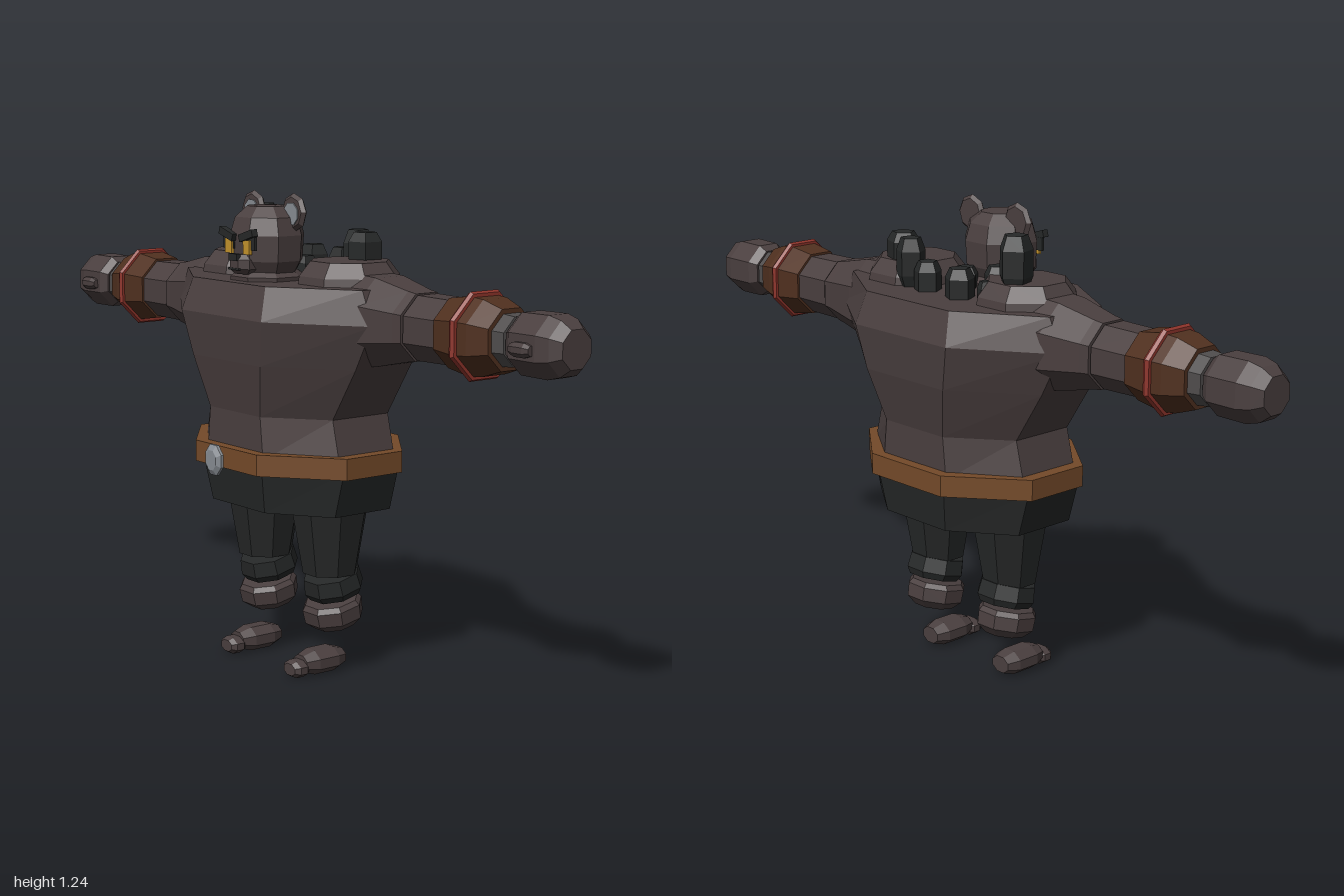
import * as THREE from 'three';

const mat = (name, color) => {
  const m = new THREE.MeshStandardMaterial({ color, flatShading: true, side: THREE.DoubleSide });
  m.name = name;
  return m;
};

export function createModel() {
  const fur = mat('fur', 0x4a3f3f), dark = mat('dark cloth', 0x262828), leather = mat('belt leather', 0x744a29);
  const bracerMat = mat('bracer leather', 0x50301f), red = mat('red band', 0x8f342b), metal = mat('metal', 0x878c92);
  const wristMat = mat('wrist grey', 0x504d4d), gold = mat('eye gold', 0xc4932c);
  const root = new THREE.Group();
  root.name = 'figure';

  const add = (name, geo, m, x = 0, y = 0, z = 0, parent = root) => {
    const mesh = new THREE.Mesh(geo, m);
    mesh.name = name;
    mesh.position.set(x, y, z);
    parent.add(mesh);
    return mesh;
  };

  // Faceted turned shape; profile is [flat radius, height] pairs, bottom to top
  const turned = (profile, sides = 8) => {
    const k = 1 / Math.cos(Math.PI / sides);
    return new THREE.LatheGeometry(profile.map(([r, h]) => new THREE.Vector2(r * k, h)), sides, Math.PI / sides);
  };
  // Chamfered pebble of the given width, height and depth
  const pebble = (w, h, d, sides = 8) =>
    turned([[0, -0.5], [0.34, -0.5], [0.5, -0.24], [0.5, 0.24], [0.34, 0.5], [0, 0.5]], sides).scale(w, h, d);

  // Stretched octagon stack: rows of [y, half width, front z, back z]
  const octagonStack = (rows) => {
    const rings = rows.map(([y, X, zf, zb]) => {
      const half = [[X * 0.42, zf], [X, 0.075], [X, -0.105], [X * 0.42, zb]];
      const all = [...half, ...half.slice().reverse().map(([x, z]) => [-x, z])];
      return all.map(([x, z]) => [x, y, z]);
    });
    const pos = [];
    const tri = (...p) => p.forEach((v) => pos.push(...v));
    const last = rings.length - 1;
    for (let j = 0; j < 8; j++) {
      const n = (j + 1) % 8;
      for (let i = 0; i < last; i++) {
        tri(rings[i][j], rings[i][n], rings[i + 1][n]);
        tri(rings[i][j], rings[i + 1][n], rings[i + 1][j]);
      }
      tri([0, rows[last][0], -0.015], rings[last][j], rings[last][n]);
      tri([0, rows[0][0], -0.015], rings[0][n], rings[0][j]);
    }
    const g = new THREE.BufferGeometry();
    g.setAttribute('position', new THREE.Float32BufferAttribute(pos, 3));
    g.computeVertexNormals();
    return g;
  };

  // Body, belt and trousers
  add('torso', octagonStack([
    [0.58, 0.285, 0.19, -0.218], [0.69, 0.257, 0.19, -0.218], [0.825, 0.345, 0.217, -0.25],
    [0.94, 0.408, 0.234, -0.264], [1.025, 0.37, 0.208, -0.238],
  ]), fur);
  add('belt', octagonStack([[0.545, 0.315, 0.22, -0.248], [0.6, 0.315, 0.22, -0.248]]), leather);
  add('hips', octagonStack([[0.442, 0.268, 0.18, -0.215], [0.56, 0.302, 0.2, -0.233]]), dark);
  add('buckle', turned([[0, -0.012], [0.022, -0.012], [0.034, -0.004], [0.034, 0.004], [0.022, 0.012], [0, 0.012]])
    .rotateX(Math.PI / 2).scale(1, 1.15, 1), metal, 0, 0.572, 0.255);

  // Head
  const head = new THREE.Group();
  head.name = 'head';
  head.position.set(0, 0, 0.085);
  root.add(head);
  add('neck', turned([[0.085, 0.99], [0.09, 1.035], [0.07, 1.05], [0, 1.05]]), fur, 0, 0, 0, head);
  add('skull', turned([[0, 1.03], [0.07, 1.035], [0.092, 1.075], [0.096, 1.14], [0.083, 1.185], [0.052, 1.212], [0, 1.214]], 8)
    .scale(1, 1, 0.92), fur, 0, 0, 0, head);
  add('muzzle', pebble(0.085, 0.05, 0.06), fur, 0, 1.068, 0.075, head);
  add('nose', new THREE.BoxGeometry(0.035, 0.018, 0.012), dark, 0, 1.086, 0.104, head);
  add('mouth', new THREE.BoxGeometry(0.045, 0.005, 0.006), dark, 0, 1.056, 0.104, head);
  for (const s of [1, -1]) {
    add('eyeSocket', new THREE.BoxGeometry(0.046, 0.034, 0.008), dark, s * 0.044, 1.122, 0.086, head);
    add('eye', new THREE.BoxGeometry(0.027, 0.036, 0.009), gold, s * 0.038, 1.112, 0.091, head);
    add('brow', new THREE.BoxGeometry(0.058, 0.019, 0.018), dark, s * 0.042, 1.142, 0.092, head).rotation.z = s * 0.3;
    const ear = new THREE.Group();
    ear.name = 'ear';
    ear.position.set(s * 0.085, 1.198, -0.022);
    ear.rotation.z = -s * 0.35;
    head.add(ear);
    add('earShell', turned([[0, -0.009], [0.036, -0.009], [0.045, 0], [0.036, 0.009], [0, 0.009]])
      .rotateX(Math.PI / 2), fur, 0, 0, 0, ear);
    add('innerEar', new THREE.CylinderGeometry(0.03, 0.03, 0.006, 8).rotateX(Math.PI / 2), metal, 0, -0.004, 0.009, ear);
  }

  for (const s of [1, -1]) {
    // Shoulder mound
    add('shoulderMound', turned([[0.127, 1.01], [0.122, 1.045], [0.095, 1.082], [0, 1.082]]), fur, s * 0.205, 0, -0.02);

    // Arm, laid out along x
    const arm = new THREE.Group();
    arm.name = 'arm';
    arm.position.set(0, 0.942, -0.02);
    root.add(arm);
    const along = (name, profile, m) => add(name, turned(profile).rotateZ(-s * Math.PI / 2).scale(1, 1, 1), m, 0, 0, 0, arm);
    along('upperArm', [[0, 0.28], [0.115, 0.28], [0.11, 0.36], [0.086, 0.47], [0.082, 0.497], [0, 0.497]], fur);
    along('forearm', [[0, 0.502], [0.079, 0.502], [0.077, 0.63], [0, 0.63]], fur);
    along('bracer', [[0, 0.615], [0.083, 0.615], [0.094, 0.69], [0.09, 0.735], [0.072, 0.79], [0, 0.79]], bracerMat);
    along('wrist', [[0, 0.78], [0.062, 0.78], [0.058, 0.826], [0, 0.826]], wristMat);
    along('hand', [[0, 0.833], [0.058, 0.833], [0.072, 0.855], [0.073, 0.94], [0.064, 0.975], [0.045, 1], [0, 1]], fur);
    add('thumb', pebble(0.034, 0.066, 0.03).rotateZ(Math.PI / 2), fur, s * 0.9, -0.005, 0.075, arm);
    add('armBand', new THREE.TorusGeometry(0.104, 0.01, 6, 8).rotateZ(Math.PI / 8).rotateY(Math.PI / 2),
      red, s * 0.698, 0, 0, arm);

    // Leg
    const leg = new THREE.Group();
    leg.name = 'leg';
    leg.position.set(s * 0.139, 0, -0.012);
    root.add(leg);
    add('thigh', turned([[0, 0.265], [0.067, 0.265], [0.095, 0.44], [0.097, 0.5], [0, 0.5]]), dark, 0, 0, 0, leg);
    add('shin', turned([[0, -0.028], [0.064, -0.028], [0.074, -0.01], [0.07, 0.03], [0, 0.03]]),
      dark, 0, 0.232, -0.012, leg).rotation.x = 0.25;
    add('ankle', turned([[0, -0.038], [0.05, -0.038], [0.073, -0.016], [0.075, 0.02], [0.066, 0.033], [0, 0.033]]),
      fur, 0, 0.158, -0.012, leg).rotation.x = 0.2;
    add('foot', pebble(0.085, 0.13, 0.064).rotateX(Math.PI / 2), fur, 0, 0.034, 0.032, leg);
    add('toe', pebble(0.07, 0.046, 0.044).rotateX(Math.PI / 2), fur, 0, 0.024, 0.11, leg);
  }

  // Dark back spikes: x, z, bottom, top, radius
  const spikes = [
    [-0.215, -0.07, 1.06, 1.2, 0.036], [-0.185, -0.042, 1.06, 1.15, 0.026], [-0.105, -0.025, 1.01, 1.1, 0.03],
    [-0.06, -0.115, 1.0, 1.1, 0.032], [0.06, -0.115, 1.0, 1.1, 0.03], [0.13, -0.11, 1.02, 1.15, 0.032],
    [0.205, -0.07, 1.06, 1.15, 0.036], [-0.15, -0.11, 1.01, 1.08, 0.018], [0.015, -0.025, 1.01, 1.08, 0.028],
  ];
  spikes.forEach(([x, z, y0, y1, r], i) => {
    const spike = add('backSpike', pebble(r * 2, y1 - y0, r * 2, 5), dark, x, (y0 + y1) / 2, z);
    spike.rotation.y = i * 1.3;
  });

  return root;
}
